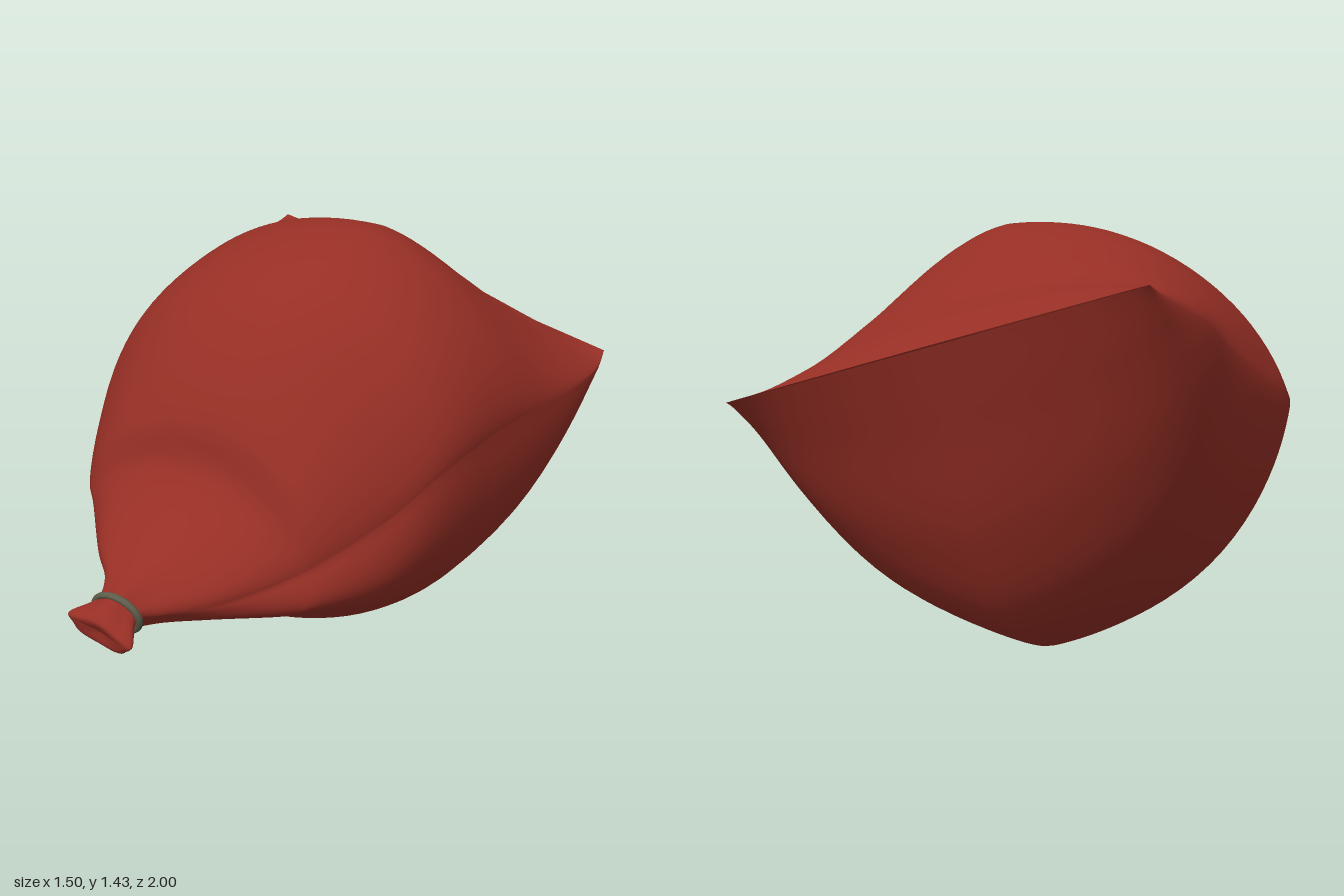
import * as THREE from 'three';

const { smoothstep } = THREE.MathUtils;

const cloth = new THREE.MeshStandardMaterial({ color: 0x972f25, side: THREE.DoubleSide });
cloth.name = 'red cloth';
const cord = new THREE.MeshStandardMaterial({ color: 0x5e5c4a });
cord.name = 'grey cord';

// Cross-sections from the flat back seam to the tied mouth:
// z, left side (x, y), right side (x, y), top (x, y), bottom y
const SECTIONS = [
  [-0.99, -0.67, 1.272, 0.72, 0.885, 0.025, 1.081, 1.083],
  [-0.9, -0.7, 1.22, 0.74, 0.85, 0.02, 1.15, 0.835],
  [-0.75, -0.74, 1.16, 0.745, 0.83, 0.06, 1.2, 0.445],
  [-0.55, -0.745, 1.06, 0.73, 0.81, 0.1, 1.3, 0.15],
  [-0.2, -0.75, 0.92, 0.69, 0.79, 0.17, 1.42, 0],
  [0.1, -0.71, 0.85, 0.635, 0.72, 0.17, 1.345, 0.06],
  [0.3, -0.63, 0.72, 0.52, 0.58, 0.12, 1.2, 0.2],
  [0.49, -0.52, 0.57, 0.37, 0.46, 0.03, 0.88, 0.28],
  [0.535, -0.47, 0.53, 0.32, 0.43, 0, 0.705, 0.285],
  [0.7, -0.31, 0.44, 0.16, 0.37, -0.06, 0.525, 0.305],
  [0.82, -0.175, 0.395, 0.04, 0.355, -0.075, 0.45, 0.305],
  [0.89, -0.155, 0.365, -0.005, 0.355, -0.08, 0.42, 0.3],
  [0.98, -0.185, 0.355, 0.03, 0.3, -0.09, 0.37, 0.28],
];

// How far each quarter of the body departs from an ellipse: a ridge runs along
// the bottom, the top is flatter on its +x slope and fuller on the other
function quarterSharpness(c, s) {
  if (s < 0) return 0.5 * s ** 4;
  return c > 0 ? 0.34 : -0.08;
}

// One point of a section: four rounded quarters joined at the sides, top and bottom.
// Towards the neck the sections lean forward and gather into pleats.
function sectionPoint([z, lx, ly, rx, ry, tx, ty, by], angle) {
  const c = Math.cos(angle), s = Math.sin(angle);
  const cx = (lx + rx) / 2, cy = (ly + ry) / 2;
  const px = s >= 0 ? tx : 0.12 * smoothstep(z, 0, 0.4) - 0.2 * smoothstep(z, 0.4, 0.85);
  const py = s >= 0 ? ty : by;
  const sharp = quarterSharpness(c, s) * (1 - smoothstep(z, 0.3, 0.7));
  const side = Math.sign(c) * Math.abs(c) ** (1 + sharp);
  const cap = Math.abs(s) ** (s >= 0 ? 1 + sharp : 1);
  const lean = 0.3 * smoothstep(z, 0.55, 0.88);
  const fold = 1 + 0.06 * smoothstep(z, 0.5, 0.95) * Math.sin(angle * 5 + 0.6);
  const x = cx + fold * ((rx - cx) * side + (px - cx) * cap);
  const y = cy + fold * ((ry - cy) * side + (py - cy) * cap);
  const seamSlant = z < -0.95 ? -0.014 * x : 0;
  return new THREE.Vector3(x, y, z + lean * (y - cy) + seamSlant);
}

// Skin the sections with smooth lengthwise curves that close at the mouth
function sackGeometry(around = 100, along = 104) {
  const positions = [], index = [];
  for (let j = 0; j < around; j++) {
    const angle = (j / around) * Math.PI * 2;
    const points = SECTIONS.map((section) => sectionPoint(section, angle));
    points.push(new THREE.Vector3(-0.078, 0.33, 0.975));
    const curve = new THREE.CatmullRomCurve3(points);
    for (const p of curve.getPoints(along)) positions.push(p.x, p.y, p.z);
  }
  const row = along + 1;
  for (let j = 0; j < around; j++) {
    for (let i = 0; i < along; i++) {
      const a = j * row + i, b = ((j + 1) % around) * row + i;
      index.push(a, b, a + 1, b, b + 1, a + 1);
    }
  }
  const geometry = new THREE.BufferGeometry();
  geometry.setAttribute('position', new THREE.Float32BufferAttribute(positions, 3));
  geometry.setIndex(index);
  geometry.computeVertexNormals();
  return geometry;
}

export function createModel() {
  const group = new THREE.Group();
  group.name = 'tiedSack';

  const sack = new THREE.Mesh(sackGeometry(), cloth);
  sack.name = 'sackBody';
  group.add(sack);

  // Cord tied round the neck, leaning forward at the top
  const tie = new THREE.Mesh(new THREE.TorusGeometry(0.085, 0.012, 10, 40), cord);
  tie.name = 'neckCord';
  tie.scale.set(1, 0.78, 1);
  tie.rotation.x = 0.3;
  tie.position.set(-0.08, 0.36, 0.892);
  group.add(tie);

  return group;
}
